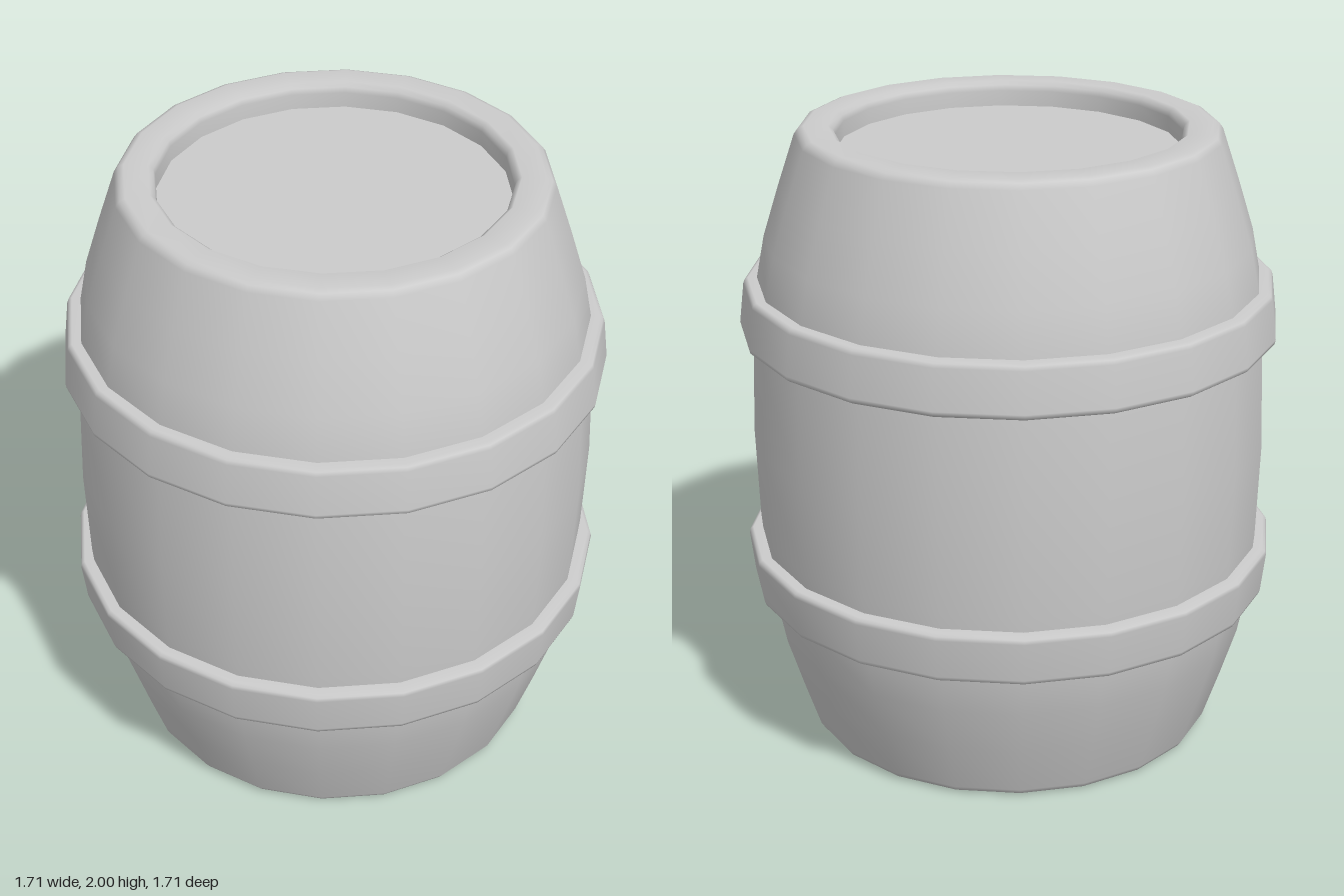
import * as THREE from 'three';

const SIDES = 20;
const material = new THREE.MeshStandardMaterial({ color: 0xcccccc });

function lathe(name, profile) {
  const points = profile.map(([r, y]) => new THREE.Vector2(r, y));
  const mesh = new THREE.Mesh(new THREE.LatheGeometry(points, SIDES), material);
  mesh.name = name;
  return mesh;
}

export function createModel() {
  const barrel = new THREE.Group();
  barrel.name = 'barrel';

  // Lower half of the shell: recess wall, softened rim, bulging side
  const half = [
    [0.54, 0.09], [0.54, 0.03], [0.545, 0.012], [0.56, 0], [0.635, 0], [0.652, 0.007],
    [0.665, 0.025], [0.72, 0.19], [0.77, 0.35], [0.797, 0.49], [0.815, 0.7],
  ];
  const upper = half.map(([r, y]) => [r, 2 - y]).reverse();
  barrel.add(lathe('shell', [...half, [0.825, 1], ...upper]));

  // Hoops: bevelled bands leaning with the bulge, mirrored about the middle
  const hoop = [
    [0.78, 0.487], [0.825, 0.487], [0.835, 0.492], [0.84, 0.505],
    [0.855, 0.633], [0.852, 0.646], [0.842, 0.653], [0.79, 0.653],
  ];
  barrel.add(lathe('lowerHoop', hoop));
  barrel.add(lathe('upperHoop', hoop.map(([r, y]) => [r, 2 - y]).reverse()));

  // Recessed heads at both ends
  for (const [name, y, turn] of [['topHead', 1.92, -1], ['bottomHead', 0.08, 1]]) {
    const head = new THREE.Mesh(new THREE.CircleGeometry(0.54, SIDES), material);
    head.name = name;
    head.rotation.x = turn * Math.PI / 2;
    head.position.y = y;
    barrel.add(head);
  }

  return barrel;
}
